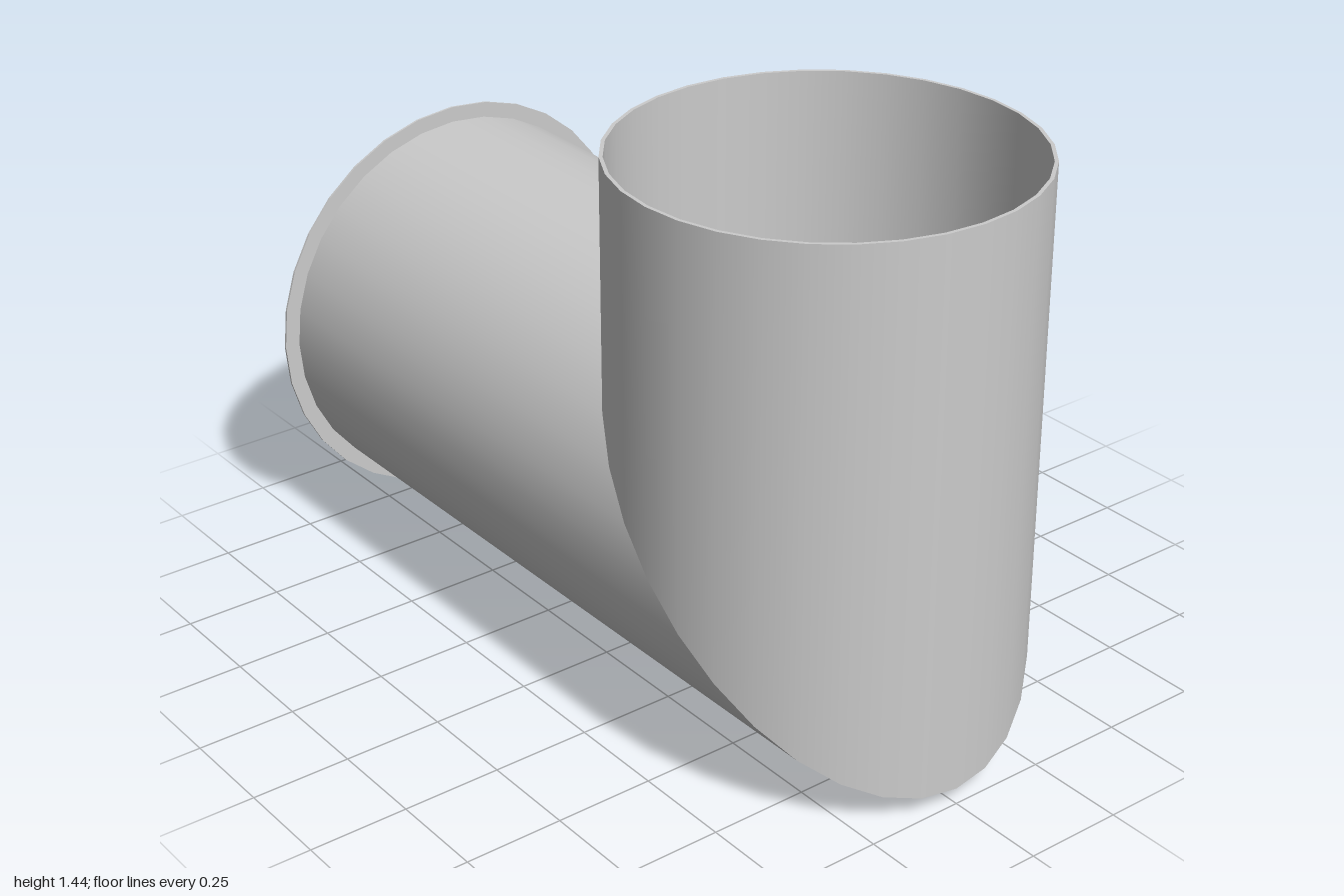
import * as THREE from 'three';

const SIDES = 32, AXIS_Y = 0.54, AXIS_X = 0.5, TOP = 1.44;
const R_OUT = 0.498, R_IN = 0.489, R_FLANGE = 0.538;
const MITRE = AXIS_X + AXIS_Y; // the joint lies on the plane x + y = MITRE

const grey = (side = THREE.FrontSide) => new THREE.MeshStandardMaterial({ color: 0xcccccc, side });

function add(parent, name, geometry, material = grey()) {
  const mesh = new THREE.Mesh(geometry, material);
  mesh.name = name;
  parent.add(mesh);
  return mesh;
}

// Open tube whose one end is slid along its axis onto the mitre plane
function mitredTube(radius, vertical) {
  const geo = new THREE.CylinderGeometry(radius, radius, 2, SIDES, 1, true);
  if (!vertical) geo.rotateZ(Math.PI / 2); // free end now faces -x
  const p = geo.attributes.position;
  for (let i = 0; i < p.count; i++) {
    if (vertical) {
      const x = p.getX(i) + AXIS_X;
      p.setXYZ(i, x, p.getY(i) > 0 ? TOP : MITRE - x, p.getZ(i));
    } else {
      const y = p.getY(i) + AXIS_Y;
      p.setXYZ(i, p.getX(i) < 0 ? -1 : MITRE - y, y, p.getZ(i));
    }
  }
  return geo;
}

// Flat tapered blade pointing along +y, pitched about its own length
function bladeGeometry() {
  const inner = 0.18, outer = 0.46;
  const geo = new THREE.PlaneGeometry(1, outer - inner);
  geo.translate(0, (inner + outer) / 2, 0);
  const p = geo.attributes.position;
  for (let i = 0; i < p.count; i++) {
    p.setX(i, p.getX(i) * (p.getY(i) > 0.3 ? 0.2 : 0.09));
  }
  return geo.rotateY(-Math.PI / 4);
}

export function createModel() {
  const model = new THREE.Group();
  model.name = 'elbowDuctFan';

  // Duct walls, outside and inside
  for (const [name, vertical] of [['horizontalDuct', false], ['verticalDuct', true]]) {
    add(model, name + 'Outer', mitredTube(R_OUT, vertical));
    add(model, name + 'Inner', mitredTube(R_IN, vertical), grey(THREE.BackSide));
  }

  // Rim closing the wall at the upper opening
  const rim = new THREE.RingGeometry(R_IN, R_OUT, SIDES).rotateX(-Math.PI / 2);
  add(model, 'topRim', rim).position.set(AXIS_X, TOP, 0);

  // Thin flange around the side opening
  const ring = new THREE.Shape().absarc(0, 0, R_FLANGE, 0, Math.PI * 2);
  ring.holes.push(new THREE.Path().absarc(0, 0, R_IN, 0, Math.PI * 2, true));
  const flange = new THREE.ExtrudeGeometry(ring, { depth: 0.006, bevelEnabled: false, curveSegments: SIDES / 2 });
  add(model, 'flange', flange.rotateY(Math.PI / 2)).position.set(-1, AXIS_Y, 0);

  // Fan: domed hub with pitched blades
  const fan = new THREE.Group();
  fan.name = 'fan';
  fan.position.set(-0.79, AXIS_Y, 0);
  model.add(fan);

  const dome = new THREE.SphereGeometry(0.24, SIDES, 10, 0, Math.PI * 2, 0, Math.PI / 2);
  add(fan, 'hubDome', dome.scale(1, 0.8, 1).rotateZ(Math.PI / 2));
  const back = new THREE.CylinderGeometry(0.24, 0.24, 0.06, SIDES).rotateZ(Math.PI / 2);
  add(fan, 'hubBack', back).position.x = 0.03;

  const blade = bladeGeometry();
  const count = 7;
  for (let i = 0; i < count; i++) {
    const mesh = add(fan, 'blade', blade, grey(THREE.DoubleSide));
    mesh.position.x = -0.04;
    mesh.rotation.x = Math.PI * 1.03 - (i / count) * Math.PI * 2;
  }
  return model;
}
